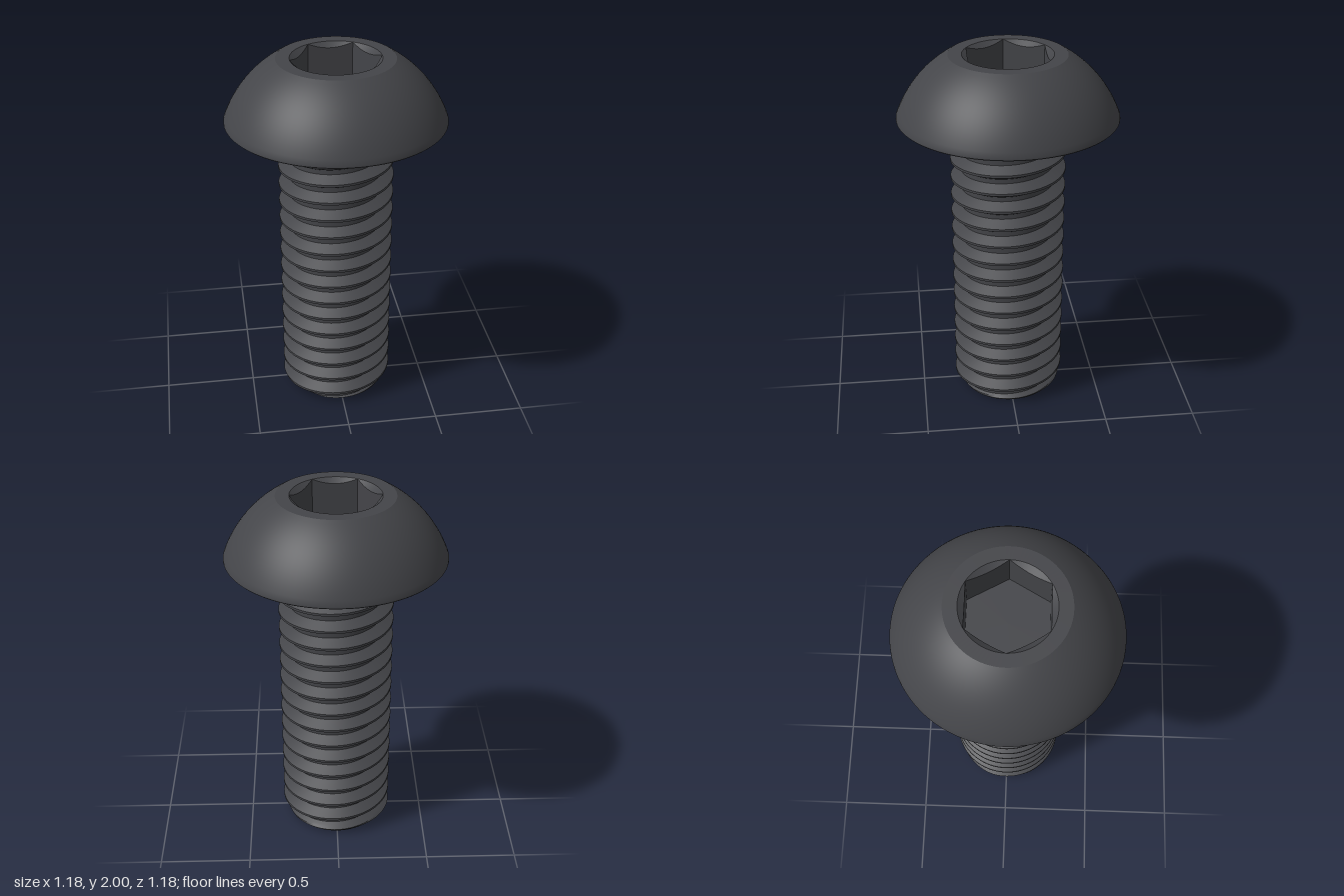
import * as THREE from 'three';
import { toCreasedNormals } from 'three/addons/utils/BufferGeometryUtils.js';

const COLS = 96;
const HEAD_Y = 1.66, TOP_Y = 2;
const PITCH = 0.1036, CREST_R = 0.311, ROOT_R = 0.253;
const HEX_APOTHEM = 0.2073, RIM_R = HEX_APOTHEM / Math.cos(Math.PI / 6);

const material = new THREE.MeshStandardMaterial({ color: 0x444549 });

// Skin of revolution whose radius and height may vary with angle: point(row, angle) -> [r, y]
function skin(name, rows, point) {
  const at = (j, i) => {
    const t = ((i % COLS) / COLS) * Math.PI * 2;
    const [r, y] = point(j, (i / COLS) * Math.PI * 2);
    return new THREE.Vector3(r * Math.sin(t), y, r * Math.cos(t));
  };
  const pos = [];
  const tri = (a, b, c) => {
    if (new THREE.Triangle(a, b, c).getArea() < 1e-9) return;
    for (const v of [a, b, c]) pos.push(v.x, v.y, v.z);
  };
  for (let j = 0; j < rows - 1; j++) {
    for (let i = 0; i < COLS; i++) {
      const a = at(j, i), b = at(j, i + 1), c = at(j + 1, i + 1), d = at(j + 1, i);
      tri(a, b, c);
      tri(a, c, d);
    }
  }
  const g = new THREE.BufferGeometry();
  g.setAttribute('position', new THREE.Float32BufferAttribute(pos, 3));
  const mesh = new THREE.Mesh(toCreasedNormals(g, 0.4), material);
  mesh.name = name;
  return mesh;
}

// Threaded shank: trapezoid thread, chamfered tip, filleted neck under the head
function threadedShank() {
  const crest = 0.065, flank = 0.31; // half crest width and flank width, in pitches
  const phase = 0.075;
  const stops = [-0.5, -flank - crest, -0.3, -0.22, -0.14, -crest, crest, 0.14, 0.22, 0.3, flank + crest];
  const turns = Math.ceil(HEAD_Y / PITCH) + 4;
  const radius = (y, t) => {
    let u = (y - phase) / PITCH - t / (2 * Math.PI);
    u = Math.abs(u - Math.round(u));
    const k = THREE.MathUtils.clamp((u - crest) / flank, 0, 1);
    let r = CREST_R + (ROOT_R - CREST_R) * k;
    r = Math.min(r, 0.26 + y);
    const below = HEAD_Y - y;
    if (below < 0.05) {
      const f = Math.max(0, 1 - below / 0.03);
      r = Math.max(r, 0.295 + 0.02 * f * f);
    }
    return r;
  };
  return skin('threadedShank', turns * stops.length + 1, (j, t) => {
    if (j === 0) return [0, 0];
    const n = Math.floor((j - 1) / stops.length) - 2;
    const helixY = phase + PITCH * (n + stops[(j - 1) % stops.length] + t / (2 * Math.PI));
    const y = THREE.MathUtils.clamp(helixY, 0, HEAD_Y);
    return [radius(y, t), y];
  });
}

// Domed head: flat underside, short edge, spherical dome, flat ring around the socket
function domedHead() {
  const profile = [[0.28, HEAD_Y], [0.585, HEAD_Y], [0.59, HEAD_Y + 0.005]];
  const centreY = 1.4524, R = 0.6297;
  const a0 = Math.asin(0.589 / R), a1 = Math.asin(0.311 / R);
  for (let i = 0; i <= 16; i++) {
    const a = a0 + ((a1 - a0) * i) / 16;
    profile.push([R * Math.sin(a), centreY + R * Math.cos(a)]);
  }
  profile.push([RIM_R, TOP_Y]);
  return skin('domedHead', profile.length, (j) => profile[j]);
}

// Hexagonal socket: conical lead-in scallops the six flat walls
function hexSocket() {
  const sixth = Math.PI / 3, floorY = 1.785;
  return skin('hexSocket', 4, (j, t) => {
    const r = HEX_APOTHEM / Math.cos(t - Math.round(t / sixth) * sixth);
    return [
      [RIM_R, TOP_Y],
      [r, TOP_Y - 0.8 * (RIM_R - r)],
      [r, floorY],
      [0, floorY],
    ][j];
  });
}

export function createModel() {
  const group = new THREE.Group();
  group.name = 'buttonHeadScrew';
  group.add(threadedShank(), domedHead(), hexSocket());
  return group;
}
